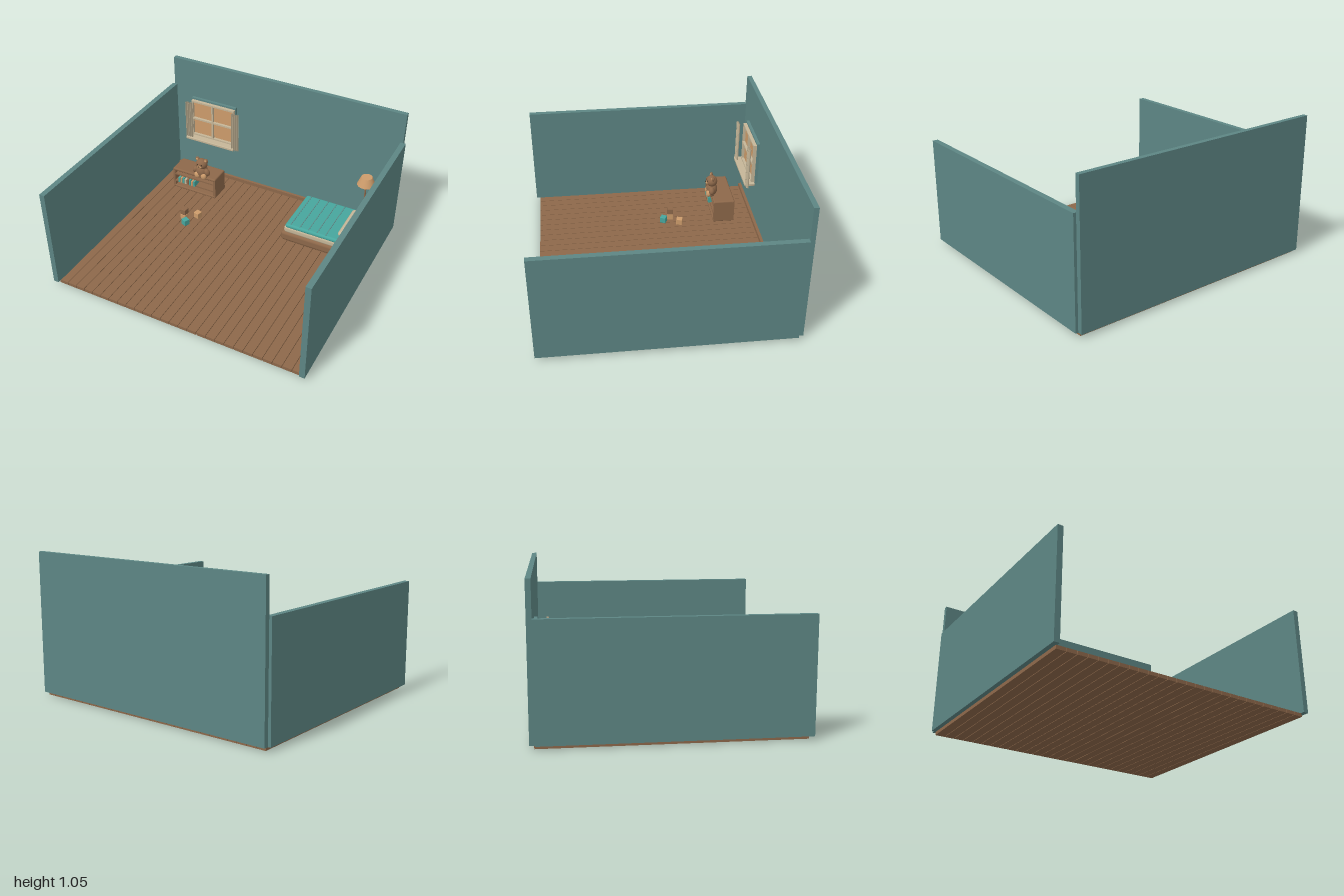
import * as THREE from 'three';
import { RoundedBoxGeometry } from 'three/addons/geometries/RoundedBoxGeometry.js';

const mat = (name, color, side = THREE.FrontSide) => {
  const m = new THREE.MeshStandardMaterial({ color, side });
  m.name = name;
  return m;
};

export function createModel() {
  const wallTeal = mat('wall teal', 0x5d8684);
  const wood = mat('wood brown', 0x8d684a);
  const tan = mat('warm tan', 0xcd9c6b);
  const cream = mat('cream', 0xc5b698, THREE.DoubleSide);
  const aqua = mat('aqua', 0x47a69d);
  const dark = mat('dark brown', 0x35271f);

  const room = new THREE.Group();
  room.name = 'bedroom';
  const group = (name, x = 0, y = 0, z = 0) => {
    const g = new THREE.Group();
    g.name = name;
    g.position.set(x, y, z);
    room.add(g);
    return g;
  };
  const add = (parent, name, geo, material, x = 0, y = 0, z = 0) => {
    const m = new THREE.Mesh(geo, material);
    m.name = name;
    m.position.set(x, y, z);
    parent.add(m);
    return m;
  };
  // Box given by its limits on each axis; r rounds the edges
  const box = (parent, name, material, [x0, x1], [y0, y1], [z0, z1], r = 0) => {
    const s = [x1 - x0, y1 - y0, z1 - z0];
    const geo = r ? new RoundedBoxGeometry(...s, 3, r) : new THREE.BoxGeometry(...s);
    return add(parent, name, geo, material, (x0 + x1) / 2, (y0 + y1) / 2, (z0 + z1) / 2);
  };
  const ball = (parent, name, material, r, x, y, z, sx = 1, sy = 1, sz = 1) => {
    const m = add(parent, name, new THREE.SphereGeometry(r, 24, 16), material, x, y, z);
    m.scale.set(sx, sy, sz);
    return m;
  };

  // Floor planks with narrow gaps
  const floor = group('floor');
  const count = 27, pitch = 1.94 / count;
  for (let i = 0; i < count; i++) {
    const x = -0.97 + i * pitch;
    box(floor, 'plank', wood, [x + 0.002, x + pitch - 0.002], [0, 0.025], [-0.87, 0.865]);
  }

  // Walls and skirting
  const walls = group('walls');
  box(walls, 'backWall', wallTeal, [-0.98, 0.98], [0.025, 1.05], [-0.9, -0.865]);
  for (const s of [-1, 1])
    box(walls, 'sideWall', wallTeal, [s * 0.98 - 0.02, s * 0.98 + 0.02], [0.025, 0.81], [-0.865, 0.895]);
  box(walls, 'skirting', wood, [-0.96, 0.96], [0.025, 0.055], [-0.865, -0.843]);

  // Window: surround, pane, frame bars and sill
  const win = group('window');
  box(win, 'surround', wallTeal, [-0.81, -0.405], [0.385, 0.735], [-0.865, -0.842]);
  box(win, 'pane', tan, [-0.79, -0.425], [0.395, 0.715], [-0.842, -0.836]);
  for (const y of [0.402, 0.555, 0.714])
    box(win, 'crossBar', cream, [-0.8, -0.41], [y - 0.007, y + 0.007], [-0.842, -0.815]);
  for (const x of [-0.793, -0.608, -0.417])
    box(win, 'uprightBar', cream, [x - 0.007, x + 0.007], [0.395, 0.72], [-0.842, -0.816]);
  box(win, 'sill', cream, [-0.83, -0.385], [0.375, 0.397], [-0.842, -0.76], 0.005);

  // Pleated curtains
  for (const x of [-0.8, -0.377]) {
    const geo = new THREE.PlaneGeometry(0.066, 0.345, 40, 4);
    const p = geo.attributes.position;
    for (let i = 0; i < p.count; i++)
      p.setZ(i, 0.009 * Math.sin((p.getX(i) / 0.066 + 0.5) * Math.PI * 8));
    geo.computeVertexNormals();
    add(win, 'curtain', geo, cream, x, 0.552, -0.775);
  }

  // Low bookshelf
  const shelf = group('bookshelf');
  box(shelf, 'shelfTop', wood, [-0.83, -0.43], [0.19, 0.215], [-0.7, -0.53], 0.011);
  box(shelf, 'shelfBottom', wood, [-0.83, -0.43], [0.027, 0.047], [-0.7, -0.53], 0.008);
  for (const x of [-0.82, -0.44])
    box(shelf, 'shelfSide', wood, [x - 0.01, x + 0.01], [0.035, 0.205], [-0.698, -0.532]);
  for (const y of [0.09, 0.158])
    box(shelf, 'shelfBoard', wood, [-0.81, -0.45], [y - 0.006, y + 0.006], [-0.69, -0.534]);
  box(shelf, 'shelfBack', wallTeal, [-0.81, -0.45], [0.045, 0.195], [-0.697, -0.685]);
  const covers = [aqua, tan, aqua, cream, wood, aqua, tan, aqua];
  covers.forEach((c, i) => {
    const x = -0.775 + i * 0.0205;
    box(shelf, 'book', c, [x, x + 0.015], [0.096, 0.14 + (i % 3) * 0.003], [-0.61, -0.517]);
  });

  // Seated teddy bear
  const bear = group('teddyBear', -0.55, 0.215, -0.53);
  ball(bear, 'body', wood, 0.052, 0, 0.058, 0, 1, 1.1, 0.85);
  ball(bear, 'head', wood, 0.05, 0, 0.13, 0.002, 1, 0.92, 0.88);
  ball(bear, 'muzzle', tan, 0.021, 0, 0.12, 0.037, 1, 0.8, 0.7);
  ball(bear, 'nose', dark, 0.007, 0, 0.127, 0.051, 1.1, 0.8, 0.6);
  for (const s of [-1, 1]) {
    ball(bear, 'ear', wood, 0.019, s * 0.038, 0.167, 0, 1, 1, 0.6);
    ball(bear, 'innerEar', tan, 0.011, s * 0.038, 0.167, 0.008, 1, 1, 0.5);
    ball(bear, 'eye', dark, 0.005, s * 0.018, 0.139, 0.042);
    const arm = ball(bear, 'arm', wood, 0.023, s * 0.053, 0.066, 0.01, 1, 1.35, 1);
    arm.rotation.z = s * 0.5;
    ball(bear, 'leg', wood, 0.025, s * 0.029, 0.026, 0.012, 1, 1, 1.2);
    ball(bear, 'footPad', tan, 0.026, s * 0.029, 0.03, 0.03, 1, 1.1, 0.7);
  }

  // Toy blocks, one stacked
  const blocks = group('toyBlocks');
  [[tan, -0.44, 0.05, -0.255, 0.25], [tan, -0.525, 0.05, -0.19, 0.1],
   [wood, -0.525, 0.1, -0.19, 0.12], [aqua, -0.482, 0.05, -0.13, 0.45]].forEach(([c, x, y, z, turn]) => {
    add(blocks, 'block', new RoundedBoxGeometry(0.048, 0.05, 0.048, 2, 0.004), c, x, y, z).rotation.y = -turn;
  });

  // Bed
  const bed = group('bed');
  box(bed, 'plinth', wood, [0.32, 0.87], [0.025, 0.06], [-0.69, -0.315]);
  box(bed, 'bedFrame', wood, [0.28, 0.915], [0.053, 0.135], [-0.732, -0.275], 0.025);
  box(bed, 'mattress', cream, [0.3, 0.86], [0.125, 0.185], [-0.722, -0.285], 0.022);
  box(bed, 'blanket', aqua, [0.31, 0.785], [0.17, 0.207], [-0.715, -0.287], 0.018);
  for (const x of [0.355, 0.43, 0.5, 0.57, 0.64])
    box(bed, 'quiltSeam', wallTeal, [x - 0.003, x + 0.003], [0.203, 0.209], [-0.7, -0.3]);
  box(bed, 'pillow', cream, [0.713, 0.828], [0.185, 0.235], [-0.68, -0.345], 0.022);
  box(bed, 'headboard', wood, [0.825, 0.877], [0.085, 0.31], [-0.75, -0.268], 0.025);

  // Floor lamp behind the bed
  const lamp = group('floorLamp', 0.77, 0, -0.757);
  add(lamp, 'lampBase', new THREE.CylinderGeometry(0.045, 0.05, 0.015, 32), wood, 0, 0.0325, 0);
  add(lamp, 'lampPole', new THREE.CylinderGeometry(0.006, 0.006, 0.42, 16), wood, 0, 0.245, 0);
  add(lamp, 'lampShade', new THREE.CylinderGeometry(0.043, 0.07, 0.068, 32), tan, 0, 0.468, 0);

  return room;
}
